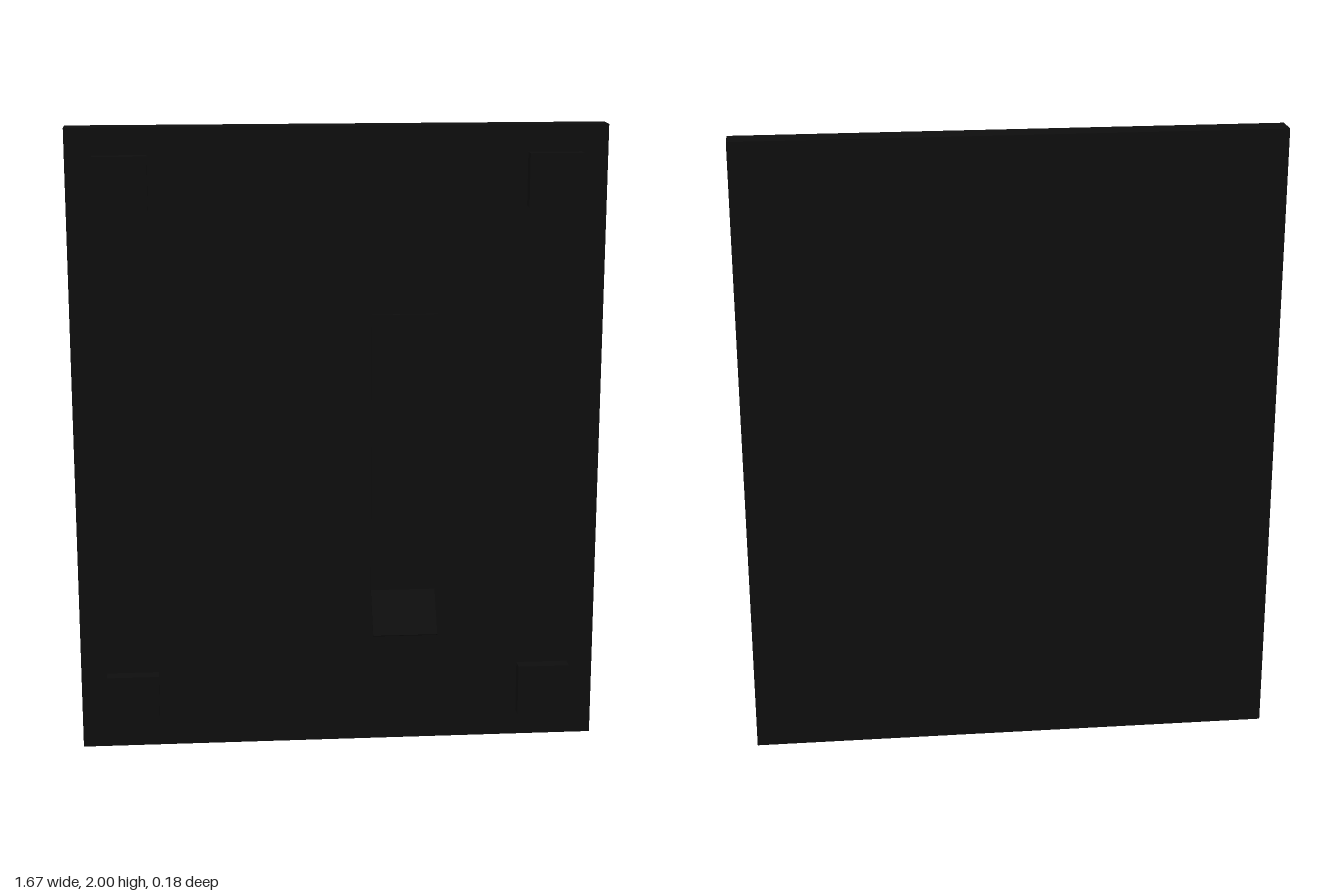
import * as THREE from 'three';

export function createModel() {
  const model = new THREE.Group();
  const black = new THREE.MeshStandardMaterial({ color: 0x0d0d0d });
  black.name = 'black';

  // Box given by its lower and upper corners
  function addBox(name, [x0, y0, z0], [x1, y1, z1]) {
    const mesh = new THREE.Mesh(new THREE.BoxGeometry(x1 - x0, y1 - y0, z1 - z0), black);
    mesh.position.set((x0 + x1) / 2, (y0 + y1) / 2, (z0 + z1) / 2);
    mesh.name = name;
    model.add(mesh);
  }

  // Flat back plate
  addBox('plate', [-0.833, 0, -0.088], [0.833, 2, -0.008]);

  // Square pads at the four corners
  for (const side of [-1, 1]) {
    for (const y of [0.168, 1.834]) {
      const x = side * 0.667;
      const name = (y > 1 ? 'upper' : 'lower') + (side > 0 ? 'Left' : 'Right') + 'Pad';
      addBox(name, [x - 0.083, y - 0.083, -0.01], [x + 0.083, y + 0.083, 0.036]);
    }
  }

  // Thin strip whose lower end bends forward into a hook; side profile as (z, y)
  const profile = new THREE.Shape([
    [-0.012, 1.416], [-0.012, 0.515], [0.08, 0.385], [0.088, 0.39], [0.002, 0.515], [0.002, 1.416],
  ].map(([z, y]) => new THREE.Vector2(z, y)));
  const hook = new THREE.Mesh(
    new THREE.ExtrudeGeometry(profile, { depth: 0.206, bevelEnabled: false }), black);
  hook.rotation.y = -Math.PI / 2;
  hook.position.x = 0.309;
  hook.name = 'hookStrip';
  model.add(hook);

  return model;
}
